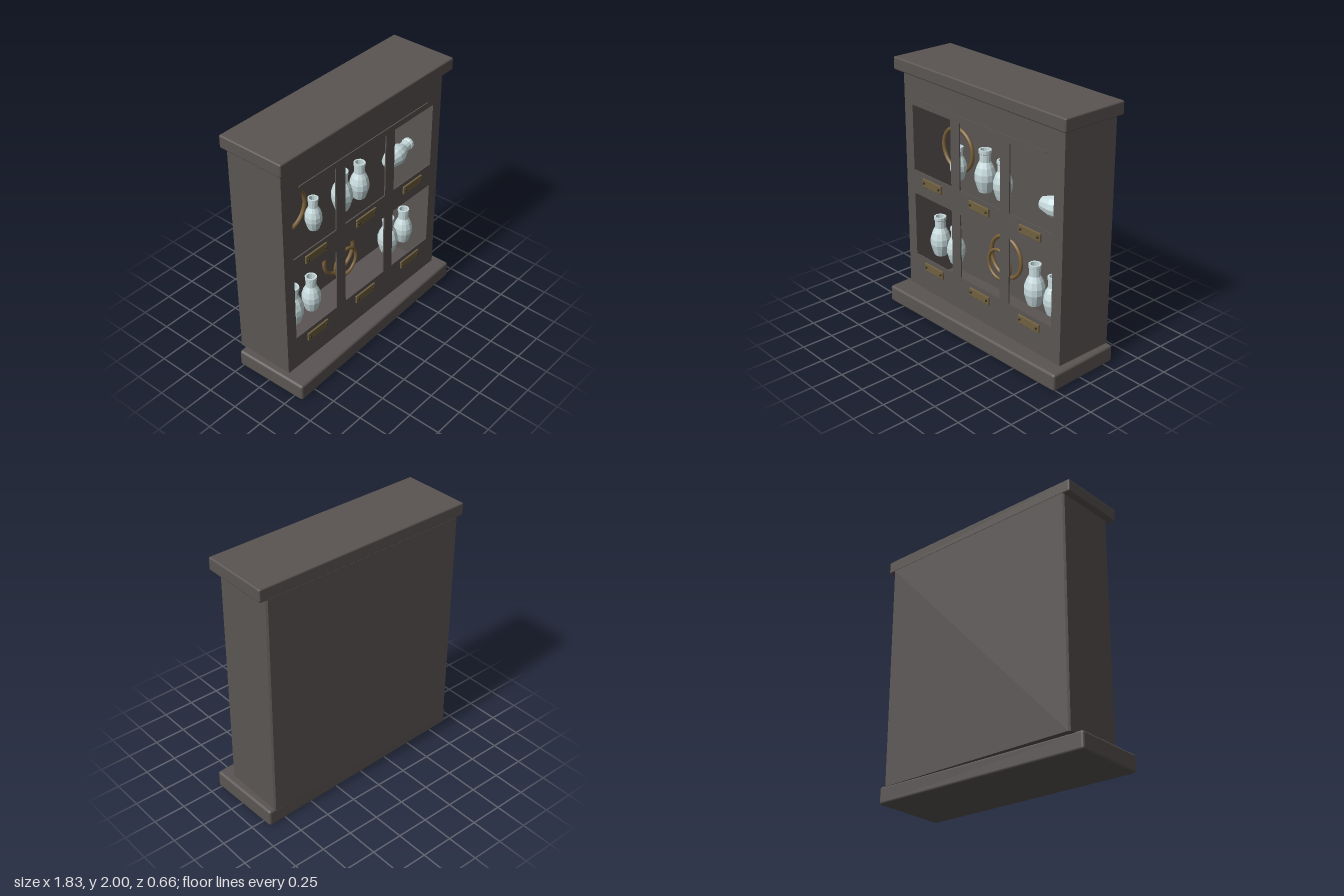
import * as THREE from 'three';
import { RoundedBoxGeometry } from 'three/addons/geometries/RoundedBoxGeometry.js';

const mat = (name, color, extra = {}) => {
  const m = new THREE.MeshStandardMaterial({ color, ...extra });
  m.name = name;
  return m;
};

export function createModel() {
  const group = new THREE.Group();
  const stone = mat('dark stone', 0x5a5553);
  const bronze = mat('bronze', 0x7a6038);
  const brass = mat('aged brass', 0x70603f);
  const iron = mat('dark iron', 0x3a3026);
  const glass = mat('pale glass', 0xc9dcde, { flatShading: true, side: THREE.DoubleSide });

  const add = (name, geometry, material, x = 0, y = 0, z = 0, parent = group) => {
    const mesh = new THREE.Mesh(geometry, material);
    mesh.name = name;
    mesh.position.set(x, y, z);
    parent.add(mesh);
    return mesh;
  };
  const polygon = (Type, pts) => new Type(pts.map(([x, y]) => new THREE.Vector2(x, y)));
  const rect = (Type, x0, y0, x1, y1) => polygon(Type, [[x0, y0], [x1, y0], [x1, y1], [x0, y1]]);

  // Base slab, set slightly askew, and top slab
  add('base', new RoundedBoxGeometry(1.815, 0.135, 0.607, 2, 0.02), stone, 0, 0.0675, 0)
    .rotation.y = 0.03;
  add('topSlab', new RoundedBoxGeometry(1.805, 0.1, 0.545, 2, 0.012), stone, 0, 1.95, -0.058);

  // Hollow cabinet: side and back walls as one U-shaped plan, drawn with y = -z
  const walls = polygon(THREE.Shape, [
    [-0.85, -0.15], [-0.8, -0.15], [-0.8, 0.28], [0.8, 0.28], [0.8, -0.15], [0.85, -0.15],
    [0.85, 0.318], [0.838, 0.33], [-0.838, 0.33], [-0.85, 0.318],
  ]);
  const wallGeometry = new THREE.ExtrudeGeometry(walls, { depth: 1.78, bevelEnabled: false });
  wallGeometry.rotateX(-Math.PI / 2);
  add('cabinetWalls', wallGeometry, stone, 0, 0.125, 0);

  // Thin front panel with six openings
  const columns = [-0.537, 0, 0.537];
  const rows = [0.412, 1.127];
  const front = rect(THREE.Shape, -0.85, 0.125, 0.85, 1.905);
  for (const x of columns) {
    for (const y of rows) front.holes.push(rect(THREE.Path, x - 0.22, y, x + 0.22, y + 0.523));
  }
  add('frontPanel', new THREE.ExtrudeGeometry(front, { depth: 0.01, bevelEnabled: false }),
    stone, 0, 0, 0.15);
  add('headerMoulding', new THREE.BoxGeometry(1.37, 0.016, 0.012), stone, 0, 1.697, 0.162);

  // Riveted plate below each opening
  const rivet = new THREE.CylinderGeometry(0.009, 0.009, 0.012, 10).rotateX(Math.PI / 2);
  for (const x of columns) {
    for (const y of rows) {
      const plaque = new THREE.Group();
      plaque.name = 'plaque';
      plaque.position.set(x, y - 0.066, 0.166);
      add('plate', new RoundedBoxGeometry(0.218, 0.066, 0.016, 1, 0.004), brass, 0, 0, 0, plaque);
      for (const s of [-1, 1]) add('rivet', rivet, iron, s * 0.087, 0, 0.009, plaque);
      group.add(plaque);
    }
  }

  // Faceted bottles, with the profile open at the mouth
  const profile = [
    [0, 0], [0.05, 0], [0.062, 0.035], [0.079, 0.095], [0.079, 0.145], [0.064, 0.195],
    [0.043, 0.235], [0.043, 0.295], [0.049, 0.3], [0.049, 0.325], [0.034, 0.325],
    [0.034, 0.25], [0, 0.24],
  ].map(([r, y]) => new THREE.Vector2(r, y));
  const bottleGeometry = new THREE.LatheGeometry(profile, 12);
  const bottle = (x, y, z, size) => {
    const mesh = add('bottle', bottleGeometry, glass, x, y, z);
    mesh.scale.setScalar(size);
    return mesh;
  };
  for (const [x, y] of [[-0.537, rows[0]], [0, rows[1]], [0.537, rows[0]]]) {
    bottle(x - 0.097, y, 0.02, 1);
    bottle(x + 0.095, y, 0.02, 0.92);
  }
  bottle(-0.4, rows[1], 0.02, 0.8);
  const fallen = bottle(0.465, 1.21, -0.02, 0.98);
  fallen.rotation.set(0, 0.15, -Math.PI / 2);

  // Rings leaning inside the cabinet
  const ring = (x, y, z, outer, tube) =>
    add('ring', new THREE.TorusGeometry(outer - tube, tube, 8, 40), bronze, x, y, z);
  ring(-0.535, 1.293, -0.09, 0.184, 0.016);
  ring(0, 0.585, -0.1, 0.181, 0.016);
  ring(0, 0.543, -0.03, 0.132, 0.013);

  return group;
}
